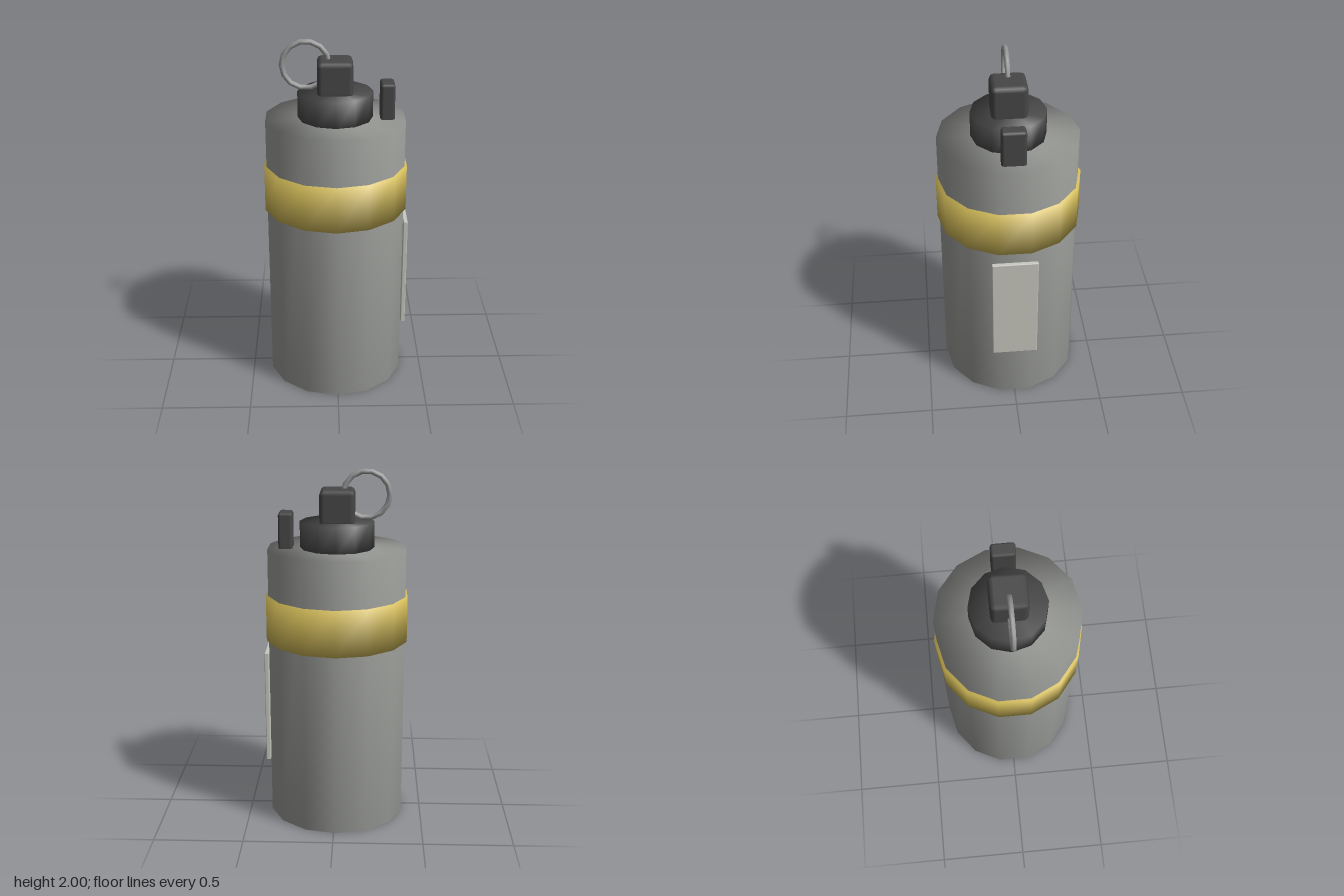
import * as THREE from 'three';
import { mergeVertices } from 'three/addons/utils/BufferGeometryUtils.js';
import { RoundedBoxGeometry } from 'three/addons/geometries/RoundedBoxGeometry.js';

const CX = -0.008; // axis of the canister

export function createModel() {
  const model = new THREE.Group();
  model.name = 'canister';

  const material = (name, color) => {
    const m = new THREE.MeshStandardMaterial({ color });
    m.name = name;
    return m;
  };
  const grey = material('body grey', 0x9c9e9a);
  const yellow = material('band yellow', 0xd0b957);
  const dark = material('fuse dark grey', 0x474747);
  const steel = material('ring steel', 0x9a9a9a);
  const pale = material('label pale grey', 0xc8c9c0);

  const add = (name, geometry, mat, x, y, z = 0) => {
    const mesh = new THREE.Mesh(geometry, mat);
    mesh.name = name;
    mesh.position.set(x, y, z);
    model.add(mesh);
    return mesh;
  };

  // Faceted drum whose normals blend over the rims
  const drum = (name, mat, radius, y0, y1, sides) => {
    let g = new THREE.CylinderGeometry(radius, radius, y1 - y0, sides);
    g.deleteAttribute('normal');
    g.deleteAttribute('uv');
    g = mergeVertices(g, 1e-4);
    g.computeVertexNormals();
    return add(name, g, mat, CX, (y0 + y1) / 2);
  };

  // Box with a single chamfer, given by its limits
  const block = (name, mat, x0, x1, y0, y1, halfZ, bevel) =>
    add(name, new RoundedBoxGeometry(x1 - x0, y1 - y0, halfZ * 2, 1, bevel),
      mat, (x0 + x1) / 2, (y0 + y1) / 2);

  // Main canister and its band
  drum('body', grey, 0.391, 0, 1.565, 14);
  drum('band', yellow, 0.404, 1.045, 1.303, 14);

  // Fuse on the top
  drum('fuseCollar', dark, 0.207, 1.55, 1.71, 12);
  block('fuseHead', dark, -0.107, 0.087, 1.69, 1.89, 0.098, 0.027);
  block('lever', dark, 0.237, 0.315, 1.5, 1.762, 0.066, 0.015);

  // Pull ring through the fuse head
  add('pullRing', new THREE.TorusGeometry(0.128, 0.015, 6, 14), steel, -0.169, 1.857);

  // Side label
  block('label', pale, 0.373, 0.398, 0.33, 0.98, 0.128, 0.005);

  return model;
}
